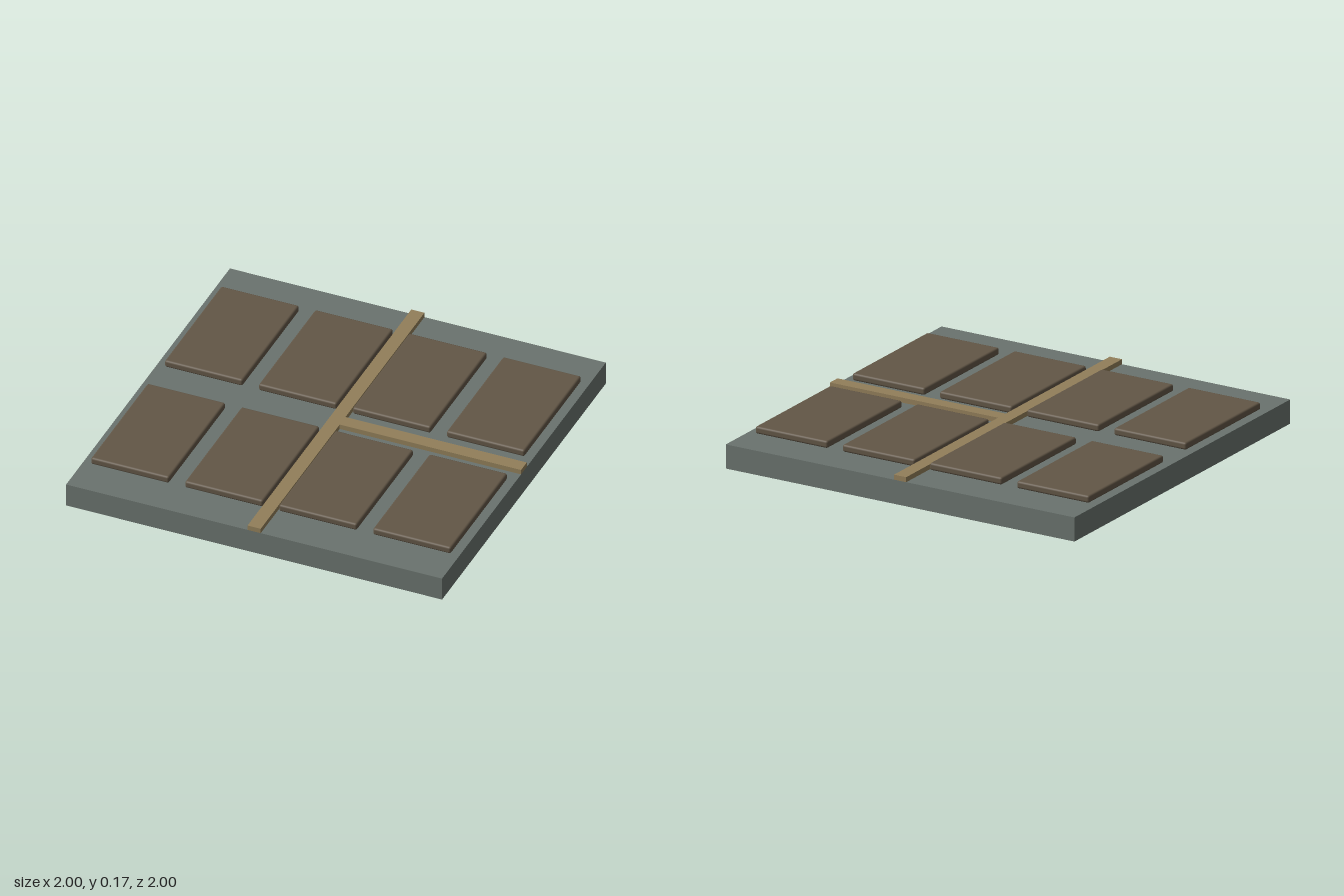
import * as THREE from 'three';
import { RoundedBoxGeometry } from 'three/addons/geometries/RoundedBoxGeometry.js';

const SLAB_TOP = 0.125;

export function createModel() {
  const group = new THREE.Group();
  const stone = new THREE.MeshStandardMaterial({ color: 0x6a736e });
  const soil = new THREE.MeshStandardMaterial({ color: 0x625646 });
  const wood = new THREE.MeshStandardMaterial({ color: 0x927f5a });

  const add = (name, geometry, material, x, y, z) => {
    const mesh = new THREE.Mesh(geometry, material);
    mesh.name = name;
    mesh.position.set(x, y, z);
    group.add(mesh);
  };

  // Square base slab
  add('baseSlab', new THREE.BoxGeometry(2, SLAB_TOP, 2), stone, 0, SLAB_TOP / 2, 0);

  // Divider strips: one full length, one branching off to the left side
  const h = 0.026, w = 0.07;
  add('longStrip', new THREE.BoxGeometry(w, h, 2), wood, 0, SLAB_TOP + h / 2, 0);
  add('branchStrip', new THREE.BoxGeometry(1 - w / 2, h, w), wood, 0.5 + w / 4, SLAB_TOP + h / 2, 0);

  // Two rows of four raised panels with softened edges
  const panel = new RoundedBoxGeometry(0.415, 0.038, 0.695, 2, 0.011);
  for (const z of [-0.45, 0.45]) {
    for (const x of [-0.75, -0.25, 0.25, 0.75]) {
      add('panel', panel, soil, x, 0.146, z);
    }
  }
  return group;
}
